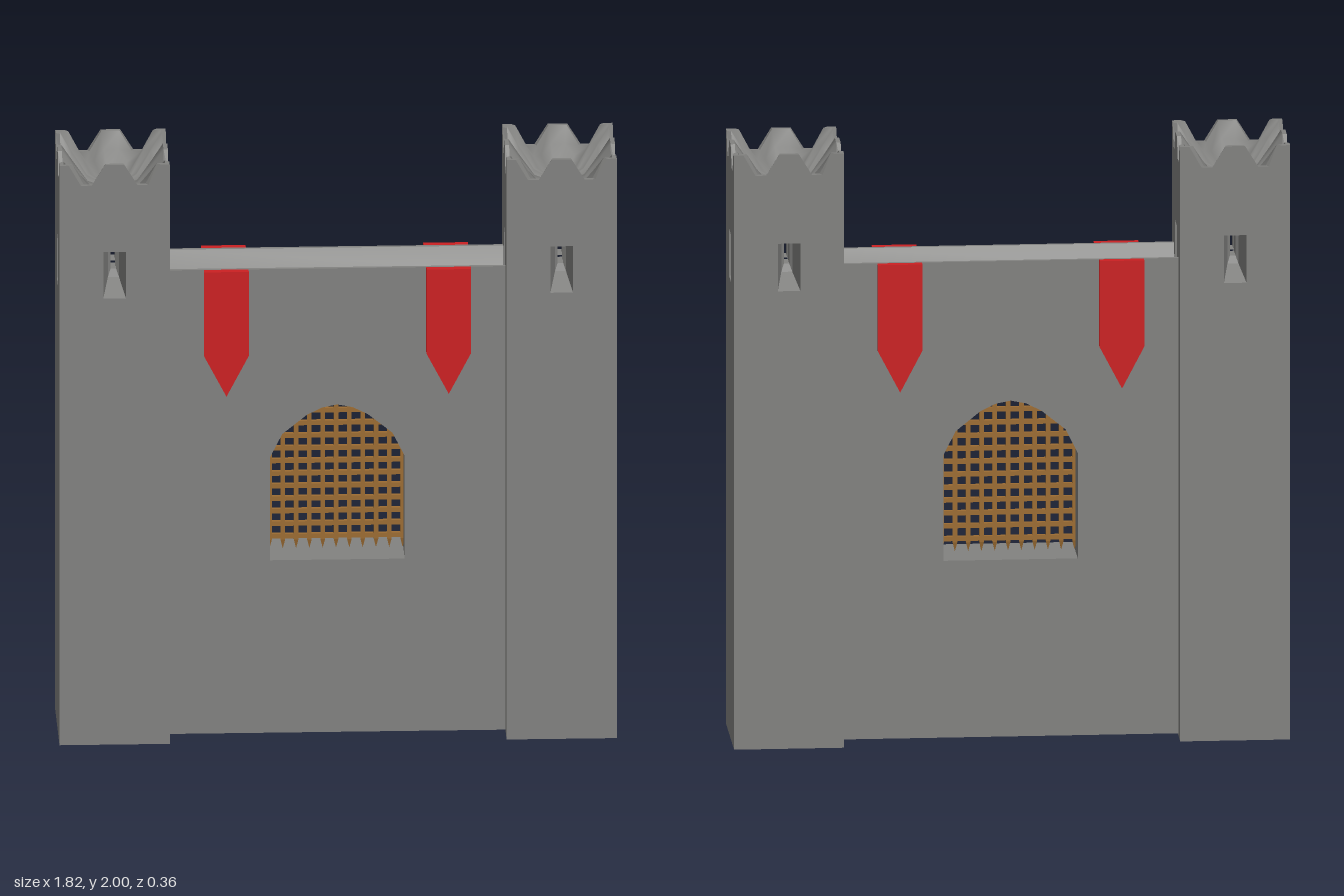
import * as THREE from 'three';

const stone = new THREE.MeshStandardMaterial({ color: 0x828280 });
stone.name = 'stone';
const red = new THREE.MeshStandardMaterial({ color: 0xcc2022 });
red.name = 'bannerRed';
const wood = new THREE.MeshStandardMaterial({ color: 0x9c6c32 });
wood.name = 'grateBrown';

const V = (x, y, z) => new THREE.Vector3(x, y, z);
const UP = V(0, 1, 0);
const shapeOf = (pts) => new THREE.Shape(pts.map(([x, y]) => new THREE.Vector2(x, y)));
const pathOf = (pts) => new THREE.Path(pts.map(([x, y]) => new THREE.Vector2(x, y)));

function add(parent, name, geo, mat) {
  const m = new THREE.Mesh(geo, mat);
  m.name = name;
  parent.add(m);
  return m;
}

// Skin a list of equal-length point rings with quads
function loft(rings, closed = true, smooth = false) {
  const n = rings[0].length;
  const index = [];
  for (let i = 0; i < rings.length - 1; i++) {
    for (let j = 0; j < (closed ? n : n - 1); j++) {
      const k = (j + 1) % n;
      const a = i * n + j, b = i * n + k, c = (i + 1) * n + k, d = (i + 1) * n + j;
      index.push(a, b, c, a, c, d);
    }
  }
  let geo = new THREE.BufferGeometry().setFromPoints(rings.flat());
  geo.setIndex(index);
  if (!smooth) geo = geo.toNonIndexed();
  geo.computeVertexNormals();
  return geo;
}

// Linear interpolation through [input, output] pairs sorted by input
function interp(pairs, v) {
  if (v <= pairs[0][0]) return pairs[0][1];
  for (let i = 1; i < pairs.length; i++) {
    const [a, ya] = pairs[i - 1], [b, yb] = pairs[i];
    if (v <= b) return ya + ((yb - ya) * (v - a)) / (b - a);
  }
  return pairs[pairs.length - 1][1];
}

const R = 0.18;            // tower half width
const TOWER_X = 0.73;
const WALL_X = 0.55, WALL_Z = 0.11, WALL_TOP = 1.61, WALL_BASE = 0.01;

// Battlement outline along one tower side
const crenel = [[-R, 2], [-0.15, 2], [-0.11, 1.93], [-0.075, 1.93], [-0.032, 2],
  [0.032, 2], [0.075, 1.93], [0.11, 1.93], [0.15, 2]];

// Half of the arch, from crown to springing
const arch = [[0, 1.14], [0.05, 1.13], [0.1, 1.105], [0.18, 1.04], [0.22, 0.96]];
const SILL = 0.605;
const archOutline = [[-0.22, SILL], [0.22, SILL], ...arch.slice().reverse(),
  ...arch.slice(1).map(([x, y]) => [-x, y])];

const rect = (w, y0, y1) => [[-w, y0], [w, y0], [w, y1], [-w, y1]];

function makeTower(name, x) {
  const tower = new THREE.Group();
  tower.name = name;
  tower.position.x = x;

  const rim = [];
  for (let k = 0; k < 4; k++) {
    // Wall face with a window hole
    const angle = (k * Math.PI) / 2;
    const opening = rect(0.037, 1.54, 1.7);
    const face = shapeOf([[-R, 0], [R, 0], [R, 2], ...crenel.slice().reverse()]);
    face.holes.push(pathOf(opening));
    const geo = new THREE.ShapeGeometry(face);
    geo.translate(0, 0, R);
    add(tower, 'towerFace', geo, stone).rotation.y = angle;

    // Splayed window narrowing to a slit
    const slitBase = k % 2 ? 1.56 : 1.605;
    const at = (pts, z) => pts.map(([px, py]) => V(px, py, z));
    add(tower, 'windowReveal', loft([
      at(opening, R),
      at(rect(0.018, k % 2 ? 1.56 : 1.58, 1.685), 0.08),
      at(rect(0.009, slitBase, 1.685), 0.07),
      at(rect(0.009, slitBase, 1.685), 0.009),
    ]), stone).rotation.y = angle;

    crenel.forEach(([u, y]) => rim.push(V(u, y, R).applyAxisAngle(UP, angle)));
  }

  // Thin scalloped lip, then a smooth bowl inside the battlements
  const ring = (s, f) => rim.map((p) => V(p.x * s, f(p.y), p.z * s));
  const lip = ring(0.92, (y) => y);
  add(tower, 'battlementLip', loft([rim, lip]), stone);
  add(tower, 'battlementBowl', loft([
    lip,
    ring(0.72, (y) => 1.905 + (y - 1.93) * 0.6),
    ring(0.45, (y) => 1.87 + (y - 1.93) * 0.15),
    ring(0.001, () => 1.855),
  ], true, true), stone);

  const base = new THREE.PlaneGeometry(2 * R, 2 * R);
  base.rotateX(Math.PI / 2);
  add(tower, 'towerBase', base, stone);
  return tower;
}

function makeWall() {
  const wall = new THREE.Group();
  wall.name = 'wall';

  // Front and back faces with the arched opening
  const face = shapeOf([[-WALL_X, WALL_BASE], [WALL_X, WALL_BASE],
    [WALL_X, WALL_TOP], [-WALL_X, WALL_TOP]]);
  face.holes.push(pathOf(archOutline));
  const geo = new THREE.ShapeGeometry(face);
  geo.translate(0, 0, WALL_Z);
  add(wall, 'wallFront', geo, stone);
  add(wall, 'wallBack', geo, stone).rotation.y = Math.PI;

  const at = (z) => archOutline.map(([x, y]) => V(x, y, z));
  add(wall, 'archReveal', loft([at(WALL_Z), at(-WALL_Z)]), stone);

  // Sunken walkway between two thin parapets
  const strip = (pts, smooth) => loft([WALL_X, -WALL_X].map(
    (x) => pts.map(([z, y]) => V(x, y, z))), false, smooth);
  add(wall, 'walkway', strip([[0.097, WALL_TOP], [0.06, 1.54], [0, 1.51],
    [-0.06, 1.54], [-0.097, WALL_TOP]], true), stone);
  for (const [a, b] of [[WALL_Z, 0.097], [-0.097, -WALL_Z]]) {
    add(wall, 'parapetTop', strip([[a, WALL_TOP], [b, WALL_TOP]]), stone);
  }

  const base = new THREE.PlaneGeometry(2 * WALL_X, 2 * WALL_Z);
  base.rotateX(Math.PI / 2);
  base.translate(0, WALL_BASE, 0);
  add(wall, 'wallBase', base, stone);
  return wall;
}

function makeGrate() {
  const grate = new THREE.Group();
  grate.name = 'grate';
  const T = 0.015, STEP = 0.0435, LOW = 0.64;

  // Upright bars with pointed feet
  for (let i = -5; i <= 5; i++) {
    const x = i * STEP, top = interp(arch, Math.abs(x));
    add(grate, 'uprightBar', new THREE.BoxGeometry(T, top - LOW, T), wood)
      .position.set(x, (top + LOW) / 2, 0);
    const spike = new THREE.ConeGeometry(T * 0.71, 0.032, 4).toNonIndexed();
    spike.computeVertexNormals();
    spike.rotateY(Math.PI / 4);
    spike.rotateX(Math.PI);
    add(grate, 'spike', spike, wood).position.set(x, LOW - 0.016, 0);
  }

  // Cross bars trimmed to the arch
  const halfWidth = arch.map(([x, y]) => [y, x]).reverse();
  for (let i = 0; i < 12; i++) {
    const y = 0.652 + i * 0.0433;
    add(grate, 'crossBar', new THREE.BoxGeometry(2 * interp(halfWidth, y), T, T), wood)
      .position.y = y;
  }
  return grate;
}

export function createModel() {
  const model = new THREE.Group();
  model.name = 'castleGate';
  model.add(makeTower('leftTower', TOWER_X), makeTower('rightTower', -TOWER_X));
  model.add(makeWall(), makeGrate());

  // Pointed banners on both sides of the wall
  const banner = new THREE.ExtrudeGeometry(shapeOf([[-0.073, WALL_TOP], [-0.073, 1.32],
    [0, 1.18], [0.073, 1.32], [0.073, WALL_TOP]]), { depth: 0.025, bevelEnabled: false });
  for (const side of [1, -1]) {
    for (const x of [-0.363, 0.363]) {
      const m = add(model, side > 0 ? 'frontBanner' : 'backBanner', banner, red);
      m.position.set(x, 0, side * WALL_Z);
      if (side < 0) m.rotation.y = Math.PI;
    }
  }
  return model;
}
